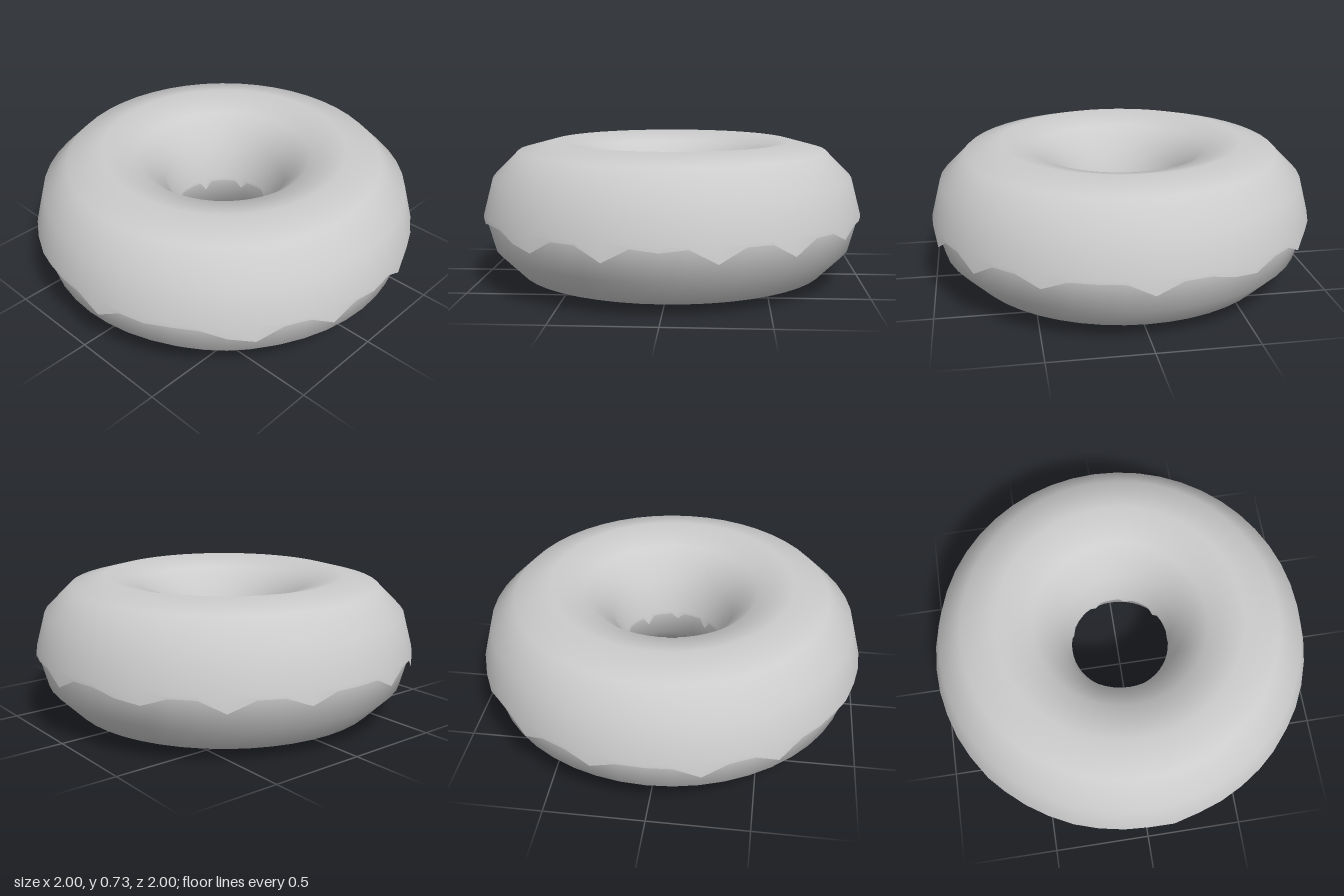
import * as THREE from 'three';

const SEGMENTS = 48;       // steps around the ring
const TUBE_SIDES = 12;     // steps around the dough
const RING = 0.63;
const CENTRE_Y = 0.366;

// Drop of the icing rim at certain steps around the ring, counted from the front
const OUTER_DRIPS = { 1: 0.07, 3: 0.01, 6: 0.045, 7: 0.07, 10: 0.07, 12: 0.015, 14: 0.07, 17: 0.07,
  20: 0.05, 24: 0.06, 27: 0.03, 28: 0.045, 31: 0.06, 34: 0.05, 38: 0.06, 41: 0.07, 45: 0.015 };
const INNER_DRIPS = { 2: 0.03, 7: 0.05, 12: 0.03, 17: 0.05, 22: 0.03, 27: 0.04, 33: 0.05, 39: 0.03, 44: 0.05 };

function makeIcing() {
  // Half-round profile with a small flared lip at both rims
  const r = 0.367;
  const profile = [new THREE.Vector2(1, CENTRE_Y - 0.018)];
  for (let j = 0; j <= TUBE_SIDES / 2; j++) {
    const a = (j / TUBE_SIDES) * Math.PI * 2;
    profile.push(new THREE.Vector2(RING + r * Math.cos(a), CENTRE_Y + r * Math.sin(a)));
  }
  profile.push(new THREE.Vector2(RING - r - 0.002, CENTRE_Y - 0.018));

  // Pull the rims down into drips
  const geometry = new THREE.LatheGeometry(profile, SEGMENTS);
  const pos = geometry.attributes.position;
  const rows = profile.length;
  for (let i = 0; i <= SEGMENTS; i++) {
    const step = i % SEGMENTS;
    const outer = i * rows;
    const inner = outer + rows - 1;
    pos.setY(outer, pos.getY(outer) - (OUTER_DRIPS[step] ?? 0));
    pos.setY(inner, pos.getY(inner) - (INNER_DRIPS[step] ?? 0));
  }
  return geometry;
}

export function createModel() {
  const group = new THREE.Group();
  group.name = 'doughnut';

  // Dough ring
  const dough = new THREE.Mesh(
    new THREE.TorusGeometry(RING, 0.363, TUBE_SIDES, SEGMENTS).rotateX(Math.PI / 2),
    new THREE.MeshStandardMaterial({ color: 0xcccccc })
  );
  dough.name = 'dough';
  dough.position.y = CENTRE_Y;

  // Icing over the upper half
  const icing = new THREE.Mesh(
    makeIcing(),
    new THREE.MeshStandardMaterial({ color: 0xcccccc, side: THREE.DoubleSide })
  );
  icing.name = 'icing';

  group.add(dough, icing);
  return group;
}
